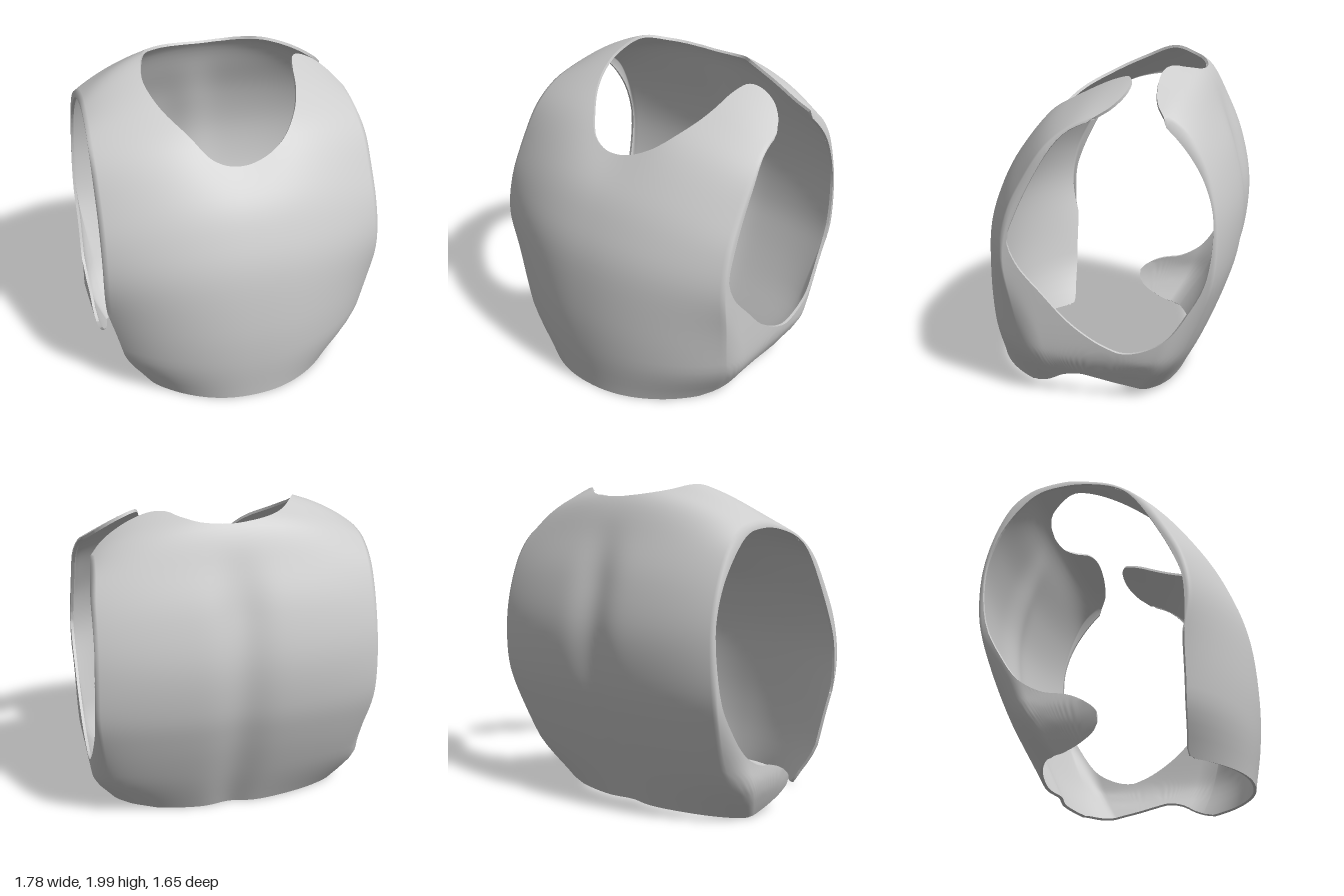
import * as THREE from 'three';

const { lerp, clamp, smoothstep } = THREE.MathUtils;
const spline = (pts) => new THREE.SplineCurve(pts.map(([a, b]) => new THREE.Vector2(a, b)));
const closedLoop = (pts) => {
  const n = pts.length, v = pts.map(([a, b]) => new THREE.Vector3(a, b, 0));
  return new THREE.CatmullRomCurve3(v, true, 'centripetal').getPoints(n * 5).slice(0, -1);
};

// side profiles (z, y) from front hem over the shoulder to back hem
const middle = spline([[.78, -.1], [.78, 0], [.82, .3], [.83, .6], [.8, .95], [.72, 1.2], [.6, 1.43],
  [.4, 1.68], [.15, 1.85], [-.1, 1.99], [-.3, 2.06], [-.45, 2.0], [-.57, 1.91], [-.67, 1.7],
  [-.77, 1.45], [-.83, 1.15], [-.81, .85], [-.74, .6], [-.62, .3], [-.48, 0], [-.44, -.1]]);
const side = spline([[.32, -.1], [.36, 0], [.44, .3], [.5, .6], [.55, .9], [.51, 1.15], [.41, 1.36],
  [.27, 1.57], [.1, 1.7], [-.08, 1.76], [-.2, 1.78], [-.33, 1.77], [-.45, 1.73], [-.57, 1.62],
  [-.67, 1.4], [-.72, 1.15], [-.71, .85], [-.64, .6], [-.51, .3], [-.32, 0], [-.27, -.1]]);
// half width against height
const width = spline([[-.15, .66], [0, .72], [.12, .79], [.22, .85], [.36, .884], [.9, .887], [1.3, .875],
  [1.7, .865], [2.1, .84]]);
const widthTable = width.getPoints(140);
function halfWidth(y) {
  let i = 1;
  while (i < 140 && widthTable[i].x < y) i++;
  const a = widthTable[i - 1], b = widthTable[i];
  return lerp(a.y, b.y, clamp((y - a.x) / (b.x - a.x), 0, 1));
}

// openings: arms and side hem seen from the side (z, y), neck seen from above (x, z)
const armUpper = [[-.18, .337], [-.3, .36], [-.45, .45], [-.57, .62], [-.66, .8], [-.7, 1.05], [-.69, 1.25],
  [-.62, 1.45], [-.5, 1.62], [-.38, 1.72], [-.22, 1.75], [-.08, 1.74], [.1, 1.685], [.2, 1.61], [.35, 1.38],
  [.47, 1.13], [.51, 1.0]];
const leftArm = closedLoop([...armUpper, [.45, .85], [.3, .68], [.15, .52], [0, .41], [-.1, .36]]);
const rightArm = closedLoop([...armUpper, [.52, .8], [.51, .6], [.505, .35], [.49, .12], [.475, 0], [.46, -.2],
  [-.3, -.2], [-.27, 0], [-.2, .02], [-.1, .06], [-.01, .12], [.02, .175], [.01, .23], [-.05, .28], [-.12, .318]]);
const leftHem = closedLoop([[.45, -.3], [.44, 0], [.38, .03], [.3, .07], [.2, .13], [.1, .15], [0, .125],
  [-.1, .095], [-.2, .07], [-.33, .035], [-.42, .01], [-.45, -.3]]);
const neck = closedLoop([[-.47, -.08], [-.44, .07], [-.38, .2], [-.28, .34], [-.2, .43], [-.1, .47], [.05, .475],
  [.2, .44], [.3, .38], [.4, .25], [.46, .1], [.49, -.05], [.53, -.15], [.6, -.18], [.7, -.165], [.78, -.1],
  [.84, 0], [.95, .06], [.95, -.45], [.84, -.42], [.75, -.36], [.6, -.34], [.46, -.355], [.37, -.4], [.3, -.47],
  [.2, -.53], [0, -.555], [-.2, -.52], [-.3, -.46], [-.4, -.33], [-.45, -.2]]);

// signed distance to a loop, positive outside
function distance(loop, a, b) {
  let best = Infinity, inside = false;
  for (let i = 0, j = loop.length - 1; i < loop.length; j = i++) {
    const p = loop[j], q = loop[i], dx = q.x - p.x, dy = q.y - p.y;
    const k = clamp(((a - p.x) * dx + (b - p.y) * dy) / (dx * dx + dy * dy || 1), 0, 1);
    best = Math.min(best, Math.hypot(a - p.x - k * dx, b - p.y - k * dy));
    if ((p.y > b) !== (q.y > b) && a < p.x + (b - p.y) / dy * dx) inside = !inside;
  }
  return inside ? -best : best;
}
function keep(p) {
  let d = p.y - .006;
  if (p.y > 1.3) d = Math.min(d, distance(neck, p.x, p.z));
  if (p.x > .45) d = Math.min(d, distance(leftArm, p.z, p.y), distance(leftHem, p.z, p.y));
  if (p.x < -.45) d = Math.min(d, distance(rightArm, p.z, p.y));
  return Math.abs(d) < 1e-5 ? 1e-5 : d;
}

// across factor: rounds the four corners, and flares the flap at the right hip
function acrossScale(r, y, z) {
  const s = Math.abs(r), corner = Math.max(0, 1 - Math.abs(s - 1) / .4) ** 2;
  const front = .045 * (1 - smoothstep(y, .3, .85));
  const back = .025 + .07 * (1 - smoothstep(y, .3, .9));
  const shoulder = r > 0 ? .025 * smoothstep(y, 1.5, 1.75) : 0;
  const flare = r < 0 ? .09 * (1 - smoothstep(y, 0, .4)) * (1 - smoothstep(z, 0, .4)) : 0;
  const cut = lerp(back, front, smoothstep(z, -.3, .3)) + shoulder;
  return 1 - cut * corner + flare * Math.min(s, 1) ** 3;
}

// point on the untrimmed torso: |r| < 1 runs across the body, 1 to 2 closes the flank
function torso(r, t) {
  const e = side.getPoint(t), s = Math.abs(r);
  if (s > 1) {
    const z = e.x * (2 - s), y = lerp(e.y, -.1, s - 1);
    return new THREE.Vector3(Math.sign(r) * halfWidth(y) * acrossScale(r, y, z), y, z);
  }
  const p = middle.getPoint(t).lerp(e, Math.pow(s, 2.2));
  // shallow hollow along the spine and a dip below the throat
  const fade = 1 - smoothstep(p.y, 1.4, 1.85);
  const spine = p.x < -.4 ? .035 * fade * Math.exp(-((r / .16) ** 2)) : 0;
  const throat = .05 * Math.exp(-((r / .3) ** 2) - ((p.x - .45) / .16) ** 2) * (p.y > 1 ? 1 : 0);
  return new THREE.Vector3(r * halfWidth(p.y) * acrossScale(r, p.y, p.x), p.y - throat, p.x + spine);
}

// trim the torso grid along the openings
function trimmedSheet(across, along) {
  const grid = [], values = [], pos = [], index = [], ids = new Map();
  for (let i = 0; i <= across; i++) for (let j = 0; j <= along; j++) {
    const p = torso(-2 + 4 * i / across, j / along);
    grid.push(p);
    values.push(keep(p));
  }
  const vertex = (a, b) => {
    const key = a < b ? a + '_' + b : b + '_' + a;
    if (!ids.has(key)) {
      const p = grid[a].clone();
      if (a !== b) p.lerp(grid[b], values[a] / (values[a] - values[b]));
      ids.set(key, pos.length / 3);
      pos.push(p.x, p.y, p.z);
    }
    return ids.get(key);
  };
  const triangle = (tri) => {
    const poly = [];
    tri.forEach((a, k) => {
      const b = tri[(k + 1) % 3];
      if (values[a] > 0) poly.push(vertex(a, a));
      if ((values[a] > 0) !== (values[b] > 0)) poly.push(vertex(a, b));
    });
    for (let k = 2; k < poly.length; k++) index.push(poly[0], poly[k - 1], poly[k]);
  };
  for (let i = 0; i < across; i++) for (let j = 0; j < along; j++) {
    const a = i * (along + 1) + j, b = a + along + 1;
    triangle([a, b, a + 1]);
    triangle([b, b + 1, a + 1]);
  }
  return geometry(pos, index);
}
function geometry(pos, index) {
  const g = new THREE.BufferGeometry();
  g.setAttribute('position', new THREE.Float32BufferAttribute(pos, 3));
  g.setIndex(index);
  g.computeVertexNormals();
  return g;
}

export function createModel() {
  const group = new THREE.Group();
  group.name = 'torsoArmour';
  const grey = new THREE.MeshStandardMaterial({ color: 0xcccccc, side: THREE.DoubleSide });
  grey.name = 'plainGrey';
  const add = (name, g) => {
    const m = new THREE.Mesh(g, grey);
    m.name = name;
    group.add(m);
  };

  // outer shell
  const outer = trimmedSheet(136, 100);
  const p = outer.attributes.position.array, n = outer.attributes.normal.array;
  const index = Array.from(outer.index.array);
  add('outerShell', outer);

  // lining, set in by the wall thickness
  const inner = Array.from(p, (v, i) => v - n[i] * .018);
  const flipped = [];
  for (let i = 0; i < index.length; i += 3) flipped.push(index[i], index[i + 2], index[i + 1]);
  add('lining', geometry(inner, flipped));

  // rim joining both sheets along every open edge
  const edges = new Set(), rimPos = [], rimIndex = [], rimIds = new Map();
  const eachEdge = (f) => index.forEach((a, i) => f(a, index[i % 3 === 2 ? i - 2 : i + 1]));
  eachEdge((a, b) => edges.add(a + '_' + b));
  const rimVertex = (a) => {
    if (!rimIds.has(a)) {
      rimIds.set(a, rimPos.length / 3);
      for (const src of [p, inner]) rimPos.push(src[3 * a], src[3 * a + 1], src[3 * a + 2]);
    }
    return rimIds.get(a);
  };
  eachEdge((a, b) => {
    if (edges.has(b + '_' + a)) return;
    const u = rimVertex(a), v = rimVertex(b);
    rimIndex.push(u, u + 1, v, v, u + 1, v + 1);
  });
  add('rim', geometry(rimPos, rimIndex));
  return group;
}
